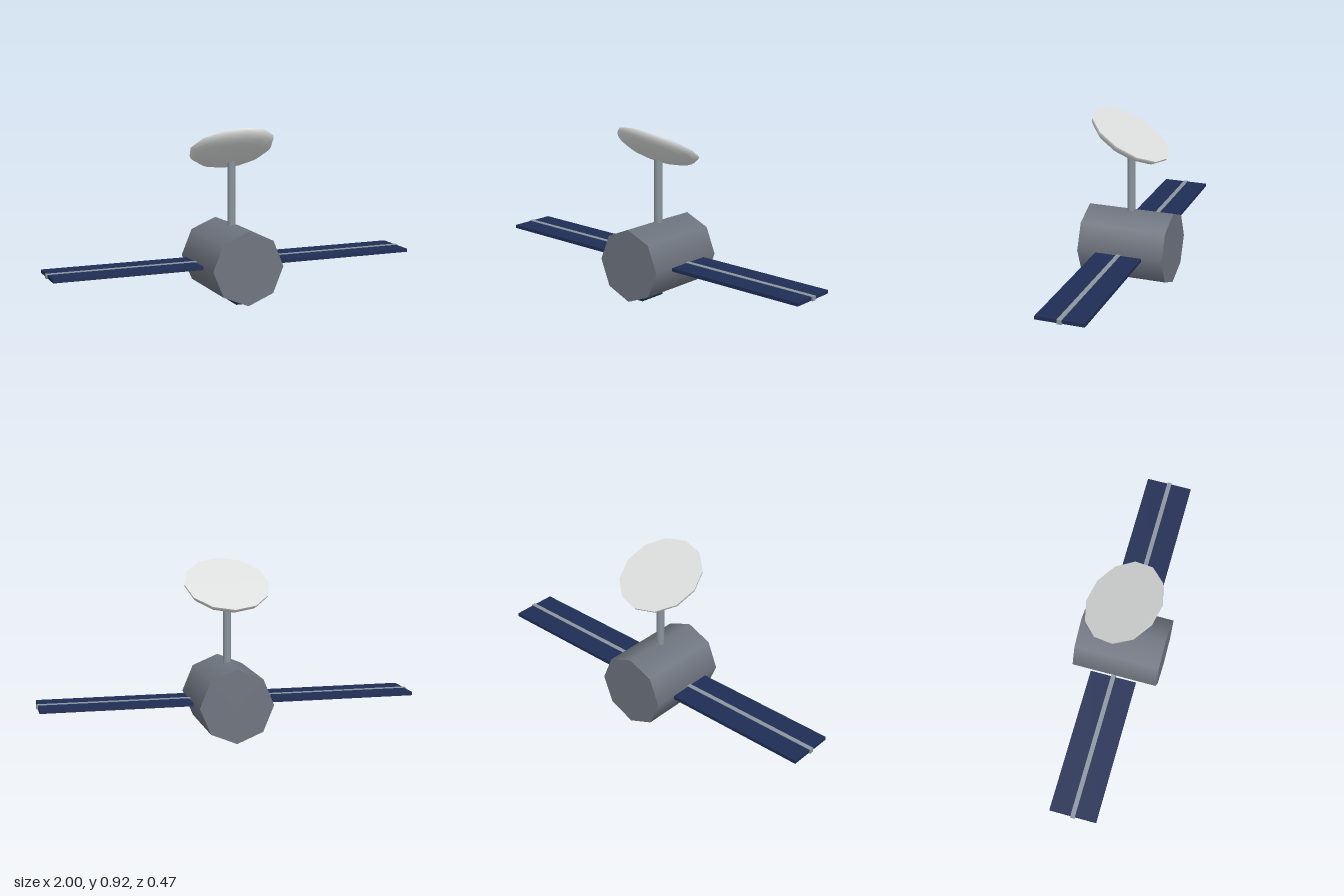
import * as THREE from 'three';

const mat = (name, color) => {
  const m = new THREE.MeshStandardMaterial({ color });
  m.name = name;
  return m;
};

export function createModel() {
  const hull = mat('hull grey', 0x6e747f);
  const metal = mat('light metal', 0x8c969e);
  const navy = mat('panel navy', 0x202d55);
  const dark = mat('sensor dark blue', 0x1c2a3a);
  const white = mat('dish white', 0xdadddc);

  const model = new THREE.Group();
  model.name = 'satellite';
  const add = (parent, name, geometry, material, x = 0, y = 0, z = 0) => {
    const mesh = new THREE.Mesh(geometry, material);
    mesh.name = name;
    mesh.position.set(x, y, z);
    parent.add(mesh);
    return mesh;
  };

  // Eight-sided body lying along z, with a corner at the top
  const axisY = 0.197;
  add(model, 'body', new THREE.CylinderGeometry(0.195, 0.195, 0.466, 8).rotateX(Math.PI / 2), hull, 0, axisY);

  // Sensor box under the body
  add(model, 'sensor', new THREE.BoxGeometry(0.09, 0.022, 0.158), dark, 0, 0.011, 0.096);

  // Solar wings, mirrored
  for (const side of [1, -1]) {
    const wing = new THREE.Group();
    wing.name = side > 0 ? 'leftWing' : 'rightWing';
    add(wing, 'solarPanel', new THREE.BoxGeometry(0.786, 0.018, 0.252), navy, side * 0.6, axisY);
    add(wing, 'wingSpar', new THREE.BoxGeometry(0.8, 0.023, 0.024), metal, side * 0.6, axisY);
    model.add(wing);
  }

  // Mast
  add(model, 'mast', new THREE.CylinderGeometry(0.022, 0.022, 0.345, 8), metal, 0, 0.5575);

  // Shallow dish with a flat face, tilted towards the back
  const dish = new THREE.Group();
  dish.name = 'dish';
  dish.position.set(0, 0.806, 0);
  dish.rotation.x = -Math.PI / 6;
  const bowl = new THREE.SphereGeometry(0.227, 12, 8, 0, Math.PI * 2, Math.PI / 2, Math.PI / 2).scale(1, 0.35, 1);
  add(dish, 'dishBowl', bowl, white);
  add(dish, 'dishFace', new THREE.CircleGeometry(0.227, 12).rotateX(-Math.PI / 2), white);
  model.add(dish);

  return model;
}
